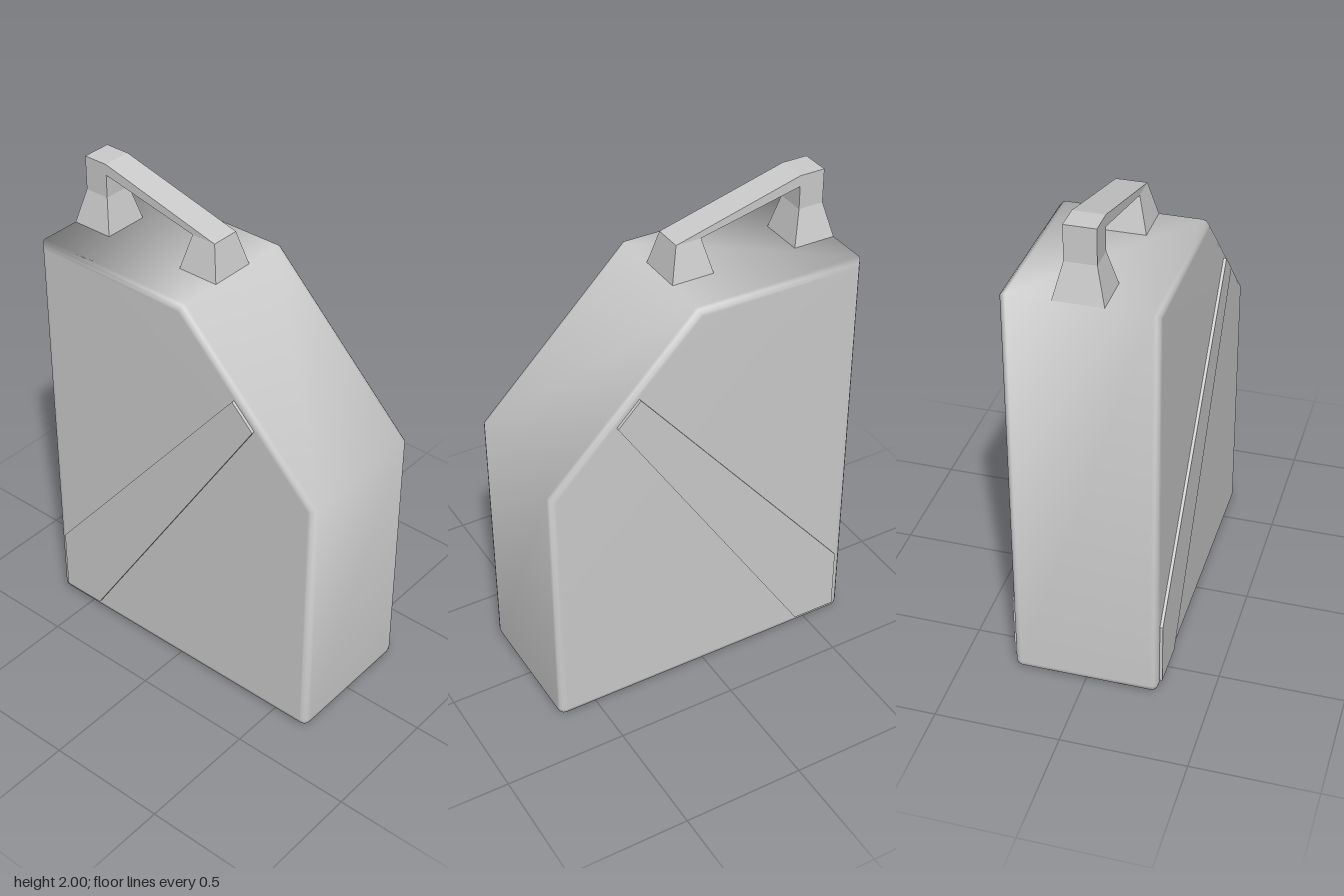
import * as THREE from 'three';
import { mergeVertices } from 'three/addons/utils/BufferGeometryUtils.js';

const material = new THREE.MeshStandardMaterial({ color: 0xcccccc });

function addMesh(parent, name, geometry) {
  const mesh = new THREE.Mesh(geometry, material);
  mesh.name = name;
  parent.add(mesh);
  return mesh;
}

// Extrudes a side profile drawn as (z, y) across x, centred on x = 0.
function sideExtrude(shape, width, bevel = 0) {
  const depth = width - 2 * bevel;
  const geometry = new THREE.ExtrudeGeometry(shape, {
    depth, curveSegments: 3, bevelEnabled: bevel > 0, bevelSegments: 3,
    bevelThickness: bevel, bevelSize: bevel, bevelOffset: -bevel,
  });
  return geometry.translate(0, 0, -depth / 2).rotateY(-Math.PI / 2);
}

const polygon = (points) => new THREE.Shape(points.map(([z, y]) => new THREE.Vector2(z, y)));

// Four-sided foot that narrows towards its top.
function footGeometry() {
  const geometry = new THREE.BoxGeometry(0.19, 0.14, 0.175).toNonIndexed();
  const p = geometry.attributes.position;
  for (let i = 0; i < p.count; i++) {
    if (p.getY(i) > 0) p.setXYZ(i, Math.sign(p.getX(i)) * 0.06, 0.07, Math.sign(p.getZ(i)) * 0.0525);
  }
  geometry.computeVertexNormals();
  return geometry;
}

export function createModel() {
  const model = new THREE.Group();
  model.name = 'fuelCan';

  // Body: sloped shoulder, rounded lower corners and soft side edges
  const r = 0.035, b = 0.665;
  const profile = new THREE.Shape();
  profile.moveTo(-b + r, 0);
  profile.lineTo(b - r, 0);
  profile.quadraticCurveTo(b, 0, b, r);
  profile.lineTo(b, 1.1);
  profile.lineTo(0.04, 1.72);
  profile.lineTo(-b, 1.72);
  profile.lineTo(-b, r);
  profile.quadraticCurveTo(-b, 0, -b + r, 0);
  let body = sideExtrude(profile, 0.58, 0.028);
  body.deleteAttribute('uv');
  body.deleteAttribute('normal');
  body = mergeVertices(body, 1e-4);
  body.computeVertexNormals();
  addMesh(model, 'body', body);

  // Raised diagonal panel on each side
  const panel = polygon([[0.385, 1.33], [-0.44, 0.04], [-0.625, 0.04], [-0.625, 0.31], [0.29, 1.425]]);
  for (const side of [1, -1]) {
    const mesh = addMesh(model, side > 0 ? 'leftPanel' : 'rightPanel', sideExtrude(panel, 0.03));
    mesh.position.x = side * 0.287;
  }

  // Handle: two tapered feet, a rear post and a sloping grip
  const handle = new THREE.Group();
  handle.name = 'handle';
  model.add(handle);
  for (const [name, z] of [['frontFoot', -0.0475], ['rearFoot', -0.5775]]) {
    addMesh(handle, name, footGeometry()).position.set(0, 1.79, z);
  }
  const grip = polygon([[0.005, 1.86], [-0.525, 2], [-0.63, 2], [-0.63, 1.86],
    [-0.525, 1.86], [-0.525, 1.955], [-0.1, 1.86]]);
  addMesh(handle, 'grip', sideExtrude(grip, 0.12));

  return model;
}
